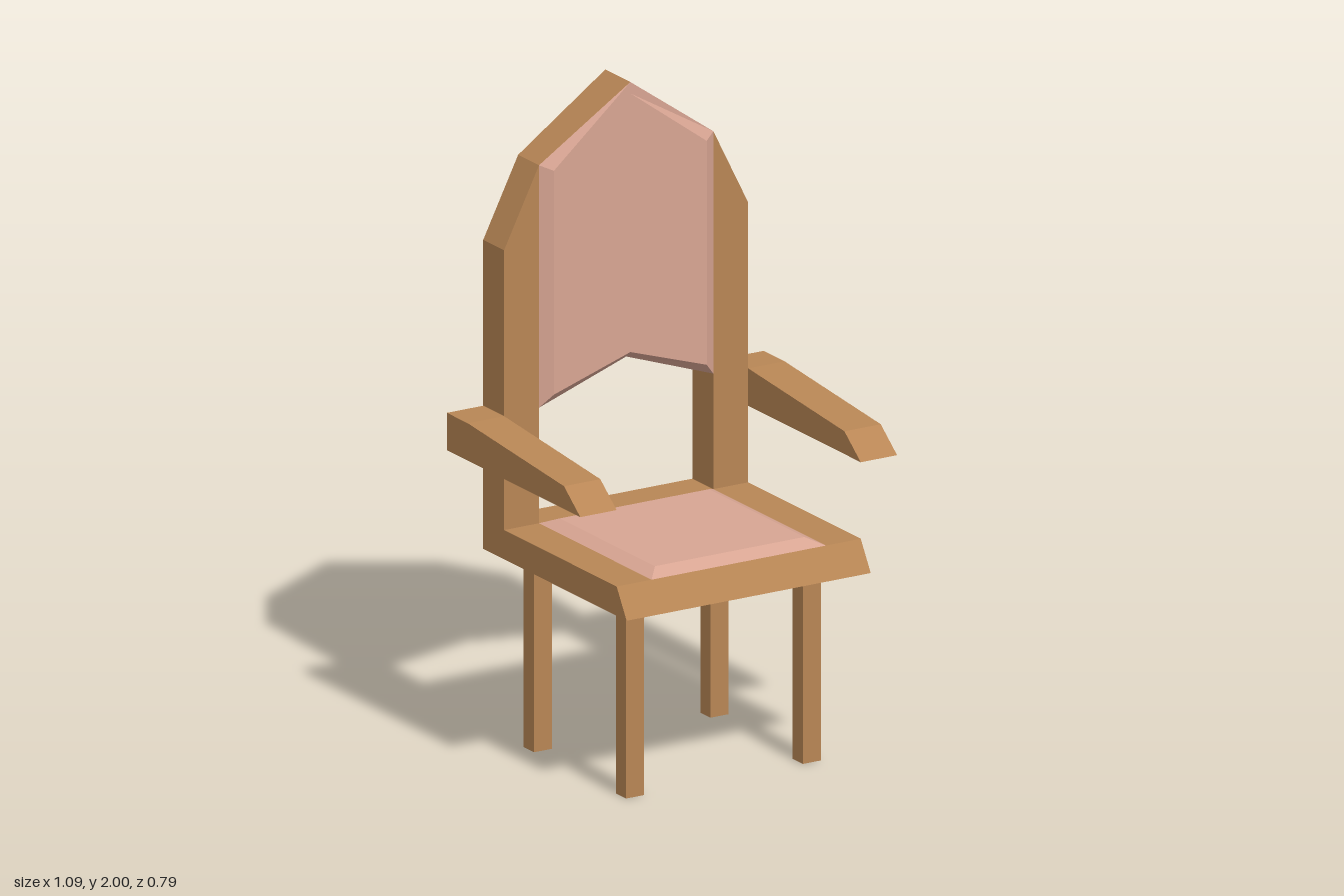
import * as THREE from 'three';

const wood = new THREE.MeshStandardMaterial({ color: 0xb88655 });
wood.name = 'wood';
const fabric = new THREE.MeshStandardMaterial({ color: 0xd8a593 });
fabric.name = 'pink fabric';

const toShape = (pts) => new THREE.Shape(pts.map(([x, y]) => new THREE.Vector2(x, y)));

// Extrude an outline straight along z, centred on z = 0
function slab(pts, depth) {
  const g = new THREE.ExtrudeGeometry(toShape(pts), { depth, bevelEnabled: false });
  return g.translate(0, 0, -depth / 2);
}

// Extrude a side profile of [z, y] points across x
const sideSlab = (pts, width) => slab(pts, width).rotateY(-Math.PI / 2);

function fromTriangles(tris) {
  const g = new THREE.BufferGeometry();
  g.setAttribute('position', new THREE.Float32BufferAttribute(tris.flat(2), 3));
  g.computeVertexNormals();
  return g;
}

// Padded panel: a sloping rim from the outer loop to the inner loop, then a flat face
function cushion(outer, inner) {
  const tris = [];
  outer.forEach((a, i) => {
    const j = (i + 1) % outer.length;
    tris.push([a, outer[j], inner[j]], [a, inner[j], inner[i]]);
  });
  const flat = inner.map(([x, y]) => new THREE.Vector2(x, y));
  THREE.ShapeUtils.triangulateShape(flat, []).forEach((f) => tris.push(f.map((k) => inner[k])));
  return fromTriangles(tris);
}

export function createModel() {
  const model = new THREE.Group();
  const add = (name, geometry, material, x = 0, y = 0, z = 0) => {
    const mesh = new THREE.Mesh(geometry, material);
    mesh.name = name;
    mesh.position.set(x, y, z);
    model.add(mesh);
    return mesh;
  };

  // Seat with a sloping front edge
  add('seat', sideSlab([[-0.395, 0.6], [0.395, 0.6], [0.34, 0.69], [-0.395, 0.69]], 0.84), wood);

  // Back: two posts joined by a pointed panel
  const back = [
    [-0.42, 0.69], [-0.3, 0.69], [-0.3, 1.045], [0, 1.15], [0.3, 1.045], [0.3, 0.69],
    [0.42, 0.69], [0.42, 1.55], [0.3, 1.79], [0, 2], [-0.3, 1.79], [-0.42, 1.55],
  ];
  add('back', slab(back, 0.115), wood, 0, 0, -0.3375);

  // Top edge of the back tapers forward to the peak
  const peak = [0, 2, -0.257], peakBack = [0, 2, -0.28];
  add('peakEdge', fromTriangles([
    [[0.3, 1.79, -0.28], peakBack, peak],
    [[-0.3, 1.79, -0.28], peak, peakBack],
  ]), wood);

  // Back cushion
  const b = -0.28, f = -0.257;
  add('backCushion', cushion(
    [[-0.3, 1.045, b], [0, 1.15, b], [0.3, 1.045, b], [0.3, 1.79, b], peak, [-0.3, 1.79, b]],
    [[-0.263, 1.085, f], [0, 1.17, f], [0.263, 1.085, f], [0.263, 1.773, f], [0, 1.965, f], [-0.263, 1.773, f]],
  ), fabric);

  // Seat cushion, modelled upright and laid flat
  add('seatCushion', cushion(
    [[-0.3, -0.34, 0.69], [0.3, -0.34, 0.69], [0.3, 0.28, 0.69], [-0.3, 0.28, 0.69]],
    [[-0.257, -0.29, 0.71], [0.257, -0.29, 0.71], [0.257, 0.235, 0.71], [-0.257, 0.235, 0.71]],
  ).rotateX(-Math.PI / 2), fabric);

  // Armrests and legs, mirrored
  const arm = [[-0.395, 0.925], [0.34, 0.925], [0.25, 0.995], [-0.28, 1.04], [-0.395, 1.04]];
  for (const [side, s] of [['left', 1], ['right', -1]]) {
    add(side + 'Armrest', sideSlab(arm, 0.125), wood, s * 0.4825);
    for (const [end, z] of [['Front', 0.228], ['Back', -0.28]]) {
      add(side + end + 'Leg', new THREE.BoxGeometry(0.062, 0.6, 0.056), wood, s * 0.304, 0.3, z);
    }
  }
  return model;
}
